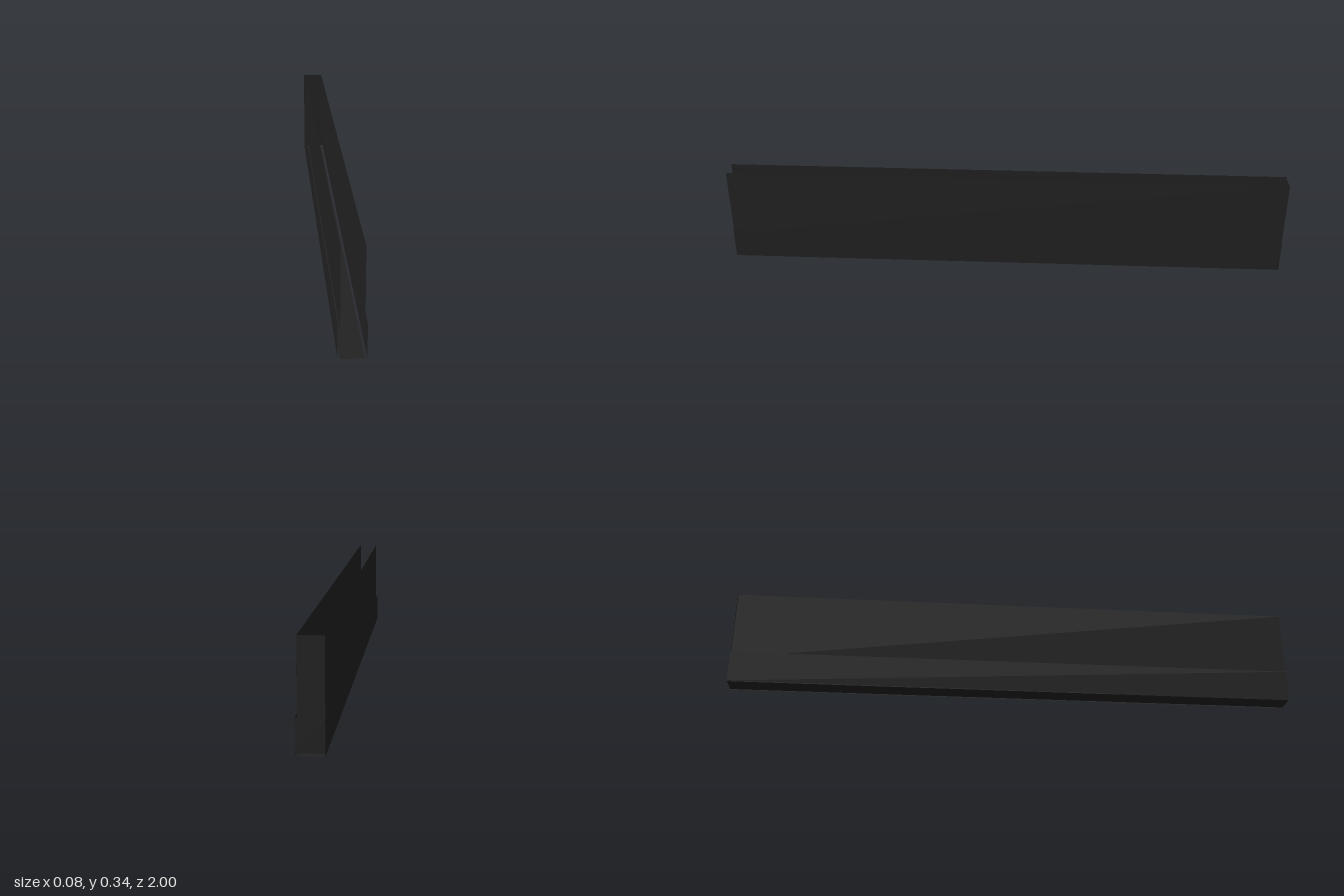
import * as THREE from 'three';

export function createModel() {
  const group = new THREE.Group();
  const charcoal = new THREE.MeshStandardMaterial({ color: 0x222222, side: THREE.DoubleSide });
  charcoal.name = 'charcoal';

  // Thin sheet of the given size, turned and placed
  function sheet(name, width, height, position, rx = 0, ry = 0) {
    const mesh = new THREE.Mesh(new THREE.PlaneGeometry(width, height), charcoal);
    mesh.name = name;
    mesh.rotation.set(rx, ry, 0);
    mesh.position.set(...position);
    group.add(mesh);
  }

  // Long side walls, each with a wider skirt overlapping its lower edge
  for (const [side, s] of [['left', 1], ['right', -1]]) {
    sheet(side + 'Wall', 2, 0.25, [s * 0.035, 0.215, 0], 0, s * Math.PI / 2);
    sheet(side + 'Skirt', 2, 0.11, [s * 0.042, 0.055, 0], 0, s * Math.PI / 2);
  }

  // Floor of the open-topped channel
  sheet('floor', 0.07, 2, [0, 0, 0], Math.PI / 2);

  // Closed back end: upper panel slightly offset, with a wider lower panel behind it
  sheet('upperEndPanel', 0.077, 0.25, [-0.0035, 0.215, -0.998]);
  sheet('lowerEndPanel', 0.084, 0.102, [0, 0.059, -1], 0, Math.PI);

  return group;
}
